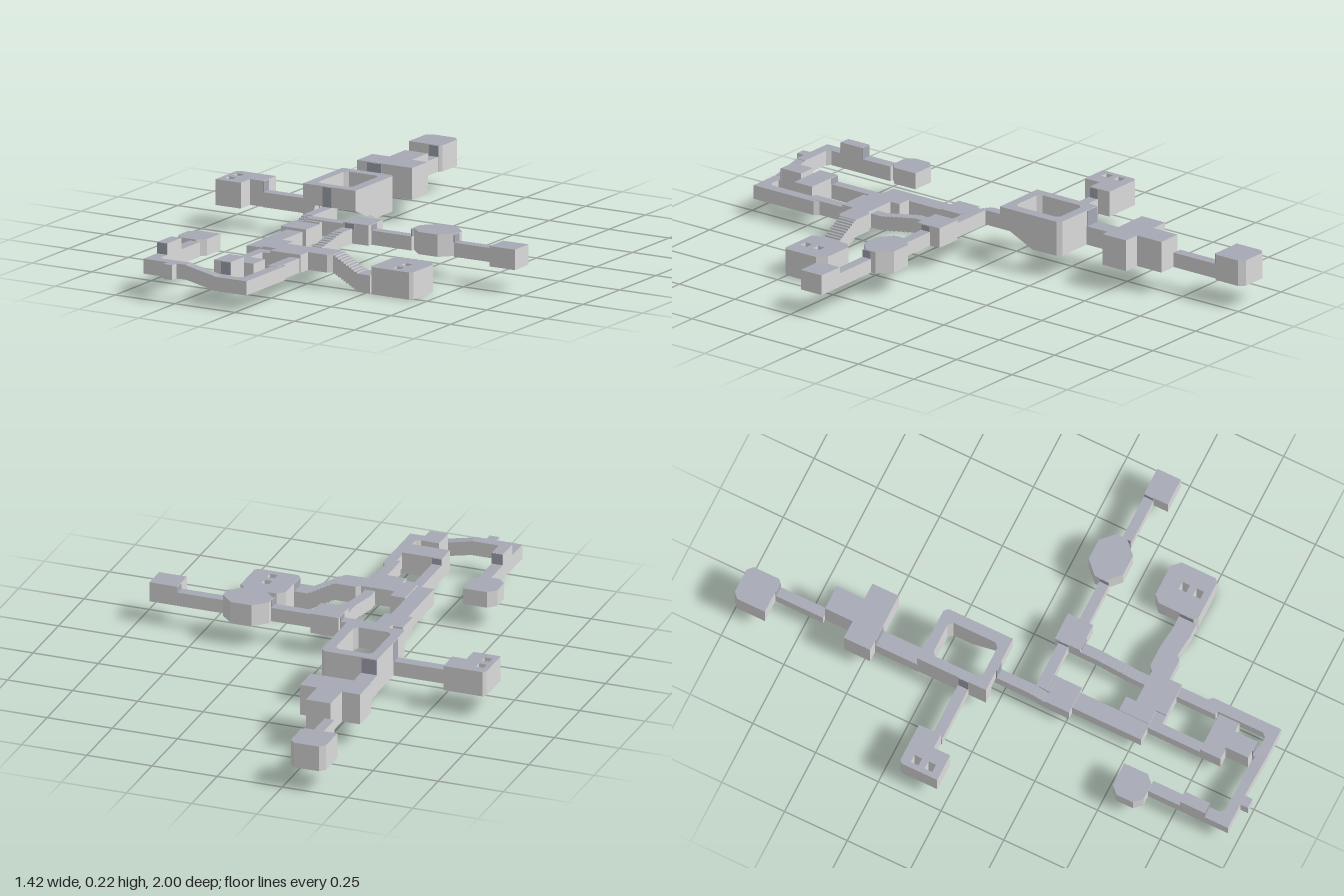
import * as THREE from 'three';
import { mergeGeometries } from 'three/addons/utils/BufferGeometryUtils.js';

const mat = (name, color) => {
  const m = new THREE.MeshStandardMaterial({ color, side: THREE.DoubleSide });
  m.name = name;
  return m;
};

export function createModel() {
  const model = new THREE.Group();
  const wallMat = mat('light grey walls', 0xdbdbdb);
  const roofMat = mat('blue grey roofs', 0xa6a9b4);
  const floorMat = mat('brown grey floors', 0xa49a88);

  // Rectangle outline, optionally with its corners cut: back left, back right, front right, front left
  const rect = (x0, x1, z0, z1, cuts = [0, 0, 0, 0]) => {
    const [a, b, c, d] = cuts;
    const pts = [];
    const add = (c1, p, q) => (c1 ? pts.push(p, q) : pts.push(p));
    add(a, [x0, z0 + a], [x0 + a, z0]);
    add(b, [x1 - b, z0], [x1, z0 + b]);
    add(c, [x1, z1 - c], [x1 - c, z1]);
    add(d, [x0 + d, z1], [x0, z1 - d]);
    return pts;
  };

  // Upright quads around an outline, facing outwards (inwards for a well)
  const walls = (pts, y0, y1, inward) => mergeGeometries(pts.map((p, i) => {
    const q = pts[(i + 1) % pts.length];
    const [a, b] = inward ? [p, q] : [q, p];
    const g = new THREE.PlaneGeometry(Math.hypot(b[0] - a[0], b[1] - a[1]), y1 - y0);
    g.rotateY(Math.atan2(-(b[1] - a[1]), b[0] - a[0]));
    return g.translate((a[0] + b[0]) / 2, (y0 + y1) / 2, (a[1] + b[1]) / 2);
  }));

  // A room or passage: walls, a roof and, unless open below, a floor; lift raises its corners by a rule
  const room = (name, pts, y0, y1, { holes = [], open = false, parent = model, lift } = {}) => {
    const g = new THREE.Group();
    g.name = name;
    const put = (part, geo, m) => {
      if (lift) {
        const p = geo.attributes.position;
        for (let i = 0; i < p.count; i++) p.setY(i, p.getY(i) + lift(p.getX(i), p.getY(i), p.getZ(i)));
        geo.computeVertexNormals();
      }
      const mesh = new THREE.Mesh(geo, m);
      mesh.name = part;
      g.add(mesh);
    };
    const path = (list) => list.map(([x, z]) => new THREE.Vector2(x, -z));
    const shape = new THREE.Shape(path(pts));
    shape.holes = holes.map((h) => new THREE.Path(path(h)));
    const slab = () => new THREE.ShapeGeometry(shape).rotateX(-Math.PI / 2);
    put('roof', slab().translate(0, y1, 0), roofMat);
    put('walls', mergeGeometries([walls(pts, y0, y1), ...holes.map((h) => walls(h, y0, y1, true))]), wallMat);
    if (!open) {
      const f = slab();
      const idx = f.index.array;
      for (let i = 0; i < idx.length; i += 3) [idx[i], idx[i + 1]] = [idx[i + 1], idx[i]];
      f.computeVertexNormals();
      put('floor', f.translate(0, y0, 0), floorMat);
    }
    parent.add(g);
  };

  // A stepped passage from s to e along x or z, between sides a and b
  const stairs = (name, axis, s, e, a, b, [lowS, lowE], height, n) => {
    const g = new THREE.Group();
    g.name = name;
    for (let i = 0; i < n; i++) {
      const p = s + ((e - s) * i) / n, q = s + ((e - s) * (i + 1)) / n;
      const y = lowS + ((lowE - lowS) * (i + 0.5)) / n;
      const pts = axis === 'x' ? rect(Math.min(p, q), Math.max(p, q), a, b) : rect(a, b, p, q);
      room('step', pts, y, y + height, { parent: g });
    }
    model.add(g);
  };

  // Thin panel closing the doorway above a passage; it lies in the plane x or z = at
  const panel = (axis, at, mid, y0, y1, w = 0.038) => {
    const m = new THREE.Mesh(new THREE.BoxGeometry(axis === 'x' ? 0.004 : w, y1 - y0, axis === 'x' ? w : 0.004), roofMat);
    m.position.set(axis === 'x' ? at : mid, (y0 + y1) / 2, axis === 'x' ? mid : at);
    m.name = 'doorPanel';
    model.add(m);
  };

  const B = 0.085; // main floor level
  const L = 0.06;  // lower floor level
  const open = { open: true };

  // Back wing
  room('backRoom', rect(-0.41, -0.275, -1, -0.87, [0.02, 0.02, 0.01, 0]), B, 0.182);
  room('backPassage', rect(-0.325, -0.287, -0.87, -0.68), B, 0.14);
  room('crossRoom', [[-0.31, -0.68], [-0.215, -0.68], [-0.215, -0.57], [-0.15, -0.57],
    [-0.15, -0.465], [-0.38, -0.465], [-0.38, -0.57], [-0.31, -0.57]], B, 0.202, open);
  room('crossPassage', rect(-0.34, -0.277, -0.465, -0.295), B, 0.155);
  panel('z', -0.869, -0.306, 0.14, 0.18);
  panel('z', -0.464, -0.308, 0.155, 0.2, 0.06);
  panel('z', -0.296, -0.308, 0.155, 0.213, 0.058);

  // Ring room, whose floor climbs along the left side to a raised front
  const climb = (x, y, z) => (y < 0.1 && x > -0.3 ? 0.055 * THREE.MathUtils.clamp((z + 0.17) / 0.12, 0, 1) : 0);
  room('ringRoom', [[-0.338, -0.295], [-0.135, -0.295], [-0.12, -0.28], [-0.12, -0.17], [-0.12, -0.05],
    [-0.12, -0.025], [-0.288, -0.025], [-0.303, -0.025], [-0.338, -0.025]], B, 0.215, {
    open: true,
    lift: climb,
    holes: [[[-0.303, -0.243], [-0.288, -0.258], [-0.175, -0.258], [-0.16, -0.243], [-0.16, -0.17],
      [-0.16, -0.075], [-0.175, -0.06], [-0.288, -0.06], [-0.303, -0.075]]],
  });
  panel('z', -0.024, -0.236, 0.14, 0.213);

  // Right-hand side room with two square shafts
  const shaft = (x, z) => rect(x - 0.015, x + 0.015, z - 0.015, z + 0.015);
  room('sidePassage', rect(-0.55, -0.338, -0.135, -0.095), B, 0.14);
  room('sideRoom', [[-0.71, -0.175], [-0.7, -0.187], [-0.55, -0.187], [-0.55, -0.1], [-0.605, -0.1],
    [-0.605, -0.035], [-0.71, -0.035]], B, 0.18,
  { open: true, holes: [shaft(-0.675, -0.135), shaft(-0.675, -0.08)] });
  panel('x', -0.55, -0.117, 0.14, 0.178, 0.034);
  panel('x', -0.338, -0.115, 0.14, 0.213);

  // Spine running forward
  room('spinePassage', rect(-0.255, -0.217, -0.06, 0.11), B, 0.14);
  stairs('spineStairs', 'z', 0.11, 0.17, -0.255, -0.217, [B, 0.065], 0.055, 4);
  room('spineRoom', rect(-0.255, -0.15, 0.17, 0.265), 0.065, 0.13);
  room('longPassage', rect(-0.23, -0.165, 0.265, 0.54), L, 0.12);
  room('linkPassage', rect(-0.217, -0.035, 0.115, 0.155), B, 0.14);
  room('linkBend', rect(-0.217, -0.15, 0.155, 0.17), 0.07, 0.135);

  // Left wing
  room('nodeRoom', rect(-0.035, 0.072, 0.1, 0.2), B, 0.16);
  room('leftPassage', rect(0.072, 0.24, 0.142, 0.18), B, 0.137);
  room('octagonRoom', rect(0.24, 0.417, 0.075, 0.212, [0.048, 0.048, 0.048, 0.048]), B, 0.167);
  room('leftFarPassage', rect(0.417, 0.6, 0.142, 0.18), B, 0.137);
  room('leftEndRoom', rect(0.6, 0.706, 0.142, 0.236), B, 0.16);
  panel('z', 0.201, -0.005, 0.14, 0.158);
  panel('x', -0.035, 0.135, 0.14, 0.158);
  for (const [x, top] of [[0.072, 0.158], [0.24, 0.165], [0.417, 0.165], [0.6, 0.158]]) {
    panel('x', x, 0.161, 0.137, top, 0.036);
  }

  // Middle hall and the way down
  room('nodePassage', rect(-0.035, 0.004, 0.2, 0.27), B, 0.14);
  stairs('nodeStairs', 'z', 0.27, 0.41, -0.035, 0.004, [B, L], 0.054, 7);
  room('nodeLowPassage', rect(-0.035, 0.004, 0.41, 0.46), L, 0.113);
  room('hall', [[-0.165, 0.42], [-0.108, 0.42], [-0.108, 0.46], [0.02, 0.46], [0.02, 0.58],
    [-0.108, 0.58], [-0.108, 0.54], [-0.165, 0.54]], L, 0.125);
  room('hallExit', [[0.02, 0.46], [0.035, 0.445], [0.115, 0.445], [0.115, 0.515], [0.1, 0.53],
    [0.02, 0.53]], L, 0.125);
  stairs('descendingStairs', 'x', 0.115, 0.215, 0.445, 0.515, [L, 0.005], 0.065, 9);
  room('lowPassage', rect(0.215, 0.27, 0.445, 0.515), 0.002, 0.068);
  room('lowRoom', rect(0.27, 0.445, 0.338, 0.515, [0.025, 0.03, 0.012, 0.012]), 0, 0.1,
    { holes: [shaft(0.365, 0.418), shaft(0.365, 0.474)] });
  panel('x', 0.27, 0.474, 0.068, 0.098, 0.055);

  // Front chambers
  room('frontPassage', rect(-0.177, -0.14, 0.54, 0.75), L, 0.115);
  room('frontLink', rect(-0.14, -0.108, 0.54, 0.58), L, 0.115);
  room('frontRoom', rect(-0.177, -0.025, 0.75, 0.83), L, 0.14);
  room('frontAlcove', rect(-0.135, -0.065, 0.83, 0.92), L, 0.16);
  room('alcoveLink', rect(-0.104, -0.065, 0.92, 0.932), L, 0.112);
  panel('z', 0.75, -0.158, 0.115, 0.138, 0.035);
  panel('z', 0.921, -0.0845, 0.112, 0.158, 0.04);

  // Loop passage, with a smooth ramp and a taller bay on the right side
  room('loopStart', rect(-0.025, 0.015, 0.58, 0.735), L, 0.113);
  room('loopSide', [[-0.01, 0.735], [0.015, 0.685], [0.03, 0.7], [0.03, 0.97], [-0.1, 0.97],
    [-0.1, 0.932], [-0.025, 0.932], [-0.01, 0.917]], L, 0.112);
  room('loopRamp', rect(-0.22, -0.1, 0.932, 0.97), L, 0.113,
    { lift: (x) => ((-0.1 - x) / 0.12) * (B - L) });
  room('loopCorner', [[-0.4, 0.875], [-0.357, 0.875], [-0.357, 0.917], [-0.342, 0.932], [-0.22, 0.932],
    [-0.22, 0.97], [-0.4, 0.97]], B, 0.14);
  room('loopBay', rect(-0.4, -0.357, 0.78, 0.875), B, 0.182);
  for (const z of [0.78, 0.875]) panel('z', z, -0.3785, 0.14, 0.181, 0.042);
  room('loopBack', rect(-0.4, -0.357, 0.652, 0.78), B, 0.14);
  room('loopNub', rect(-0.3, -0.262, 0.97, 1), B, 0.14);
  room('loopRoom', rect(-0.465, -0.345, 0.53, 0.652, [0.028, 0, 0.028, 0.028]), B, 0.146, open);

  return model;
}
